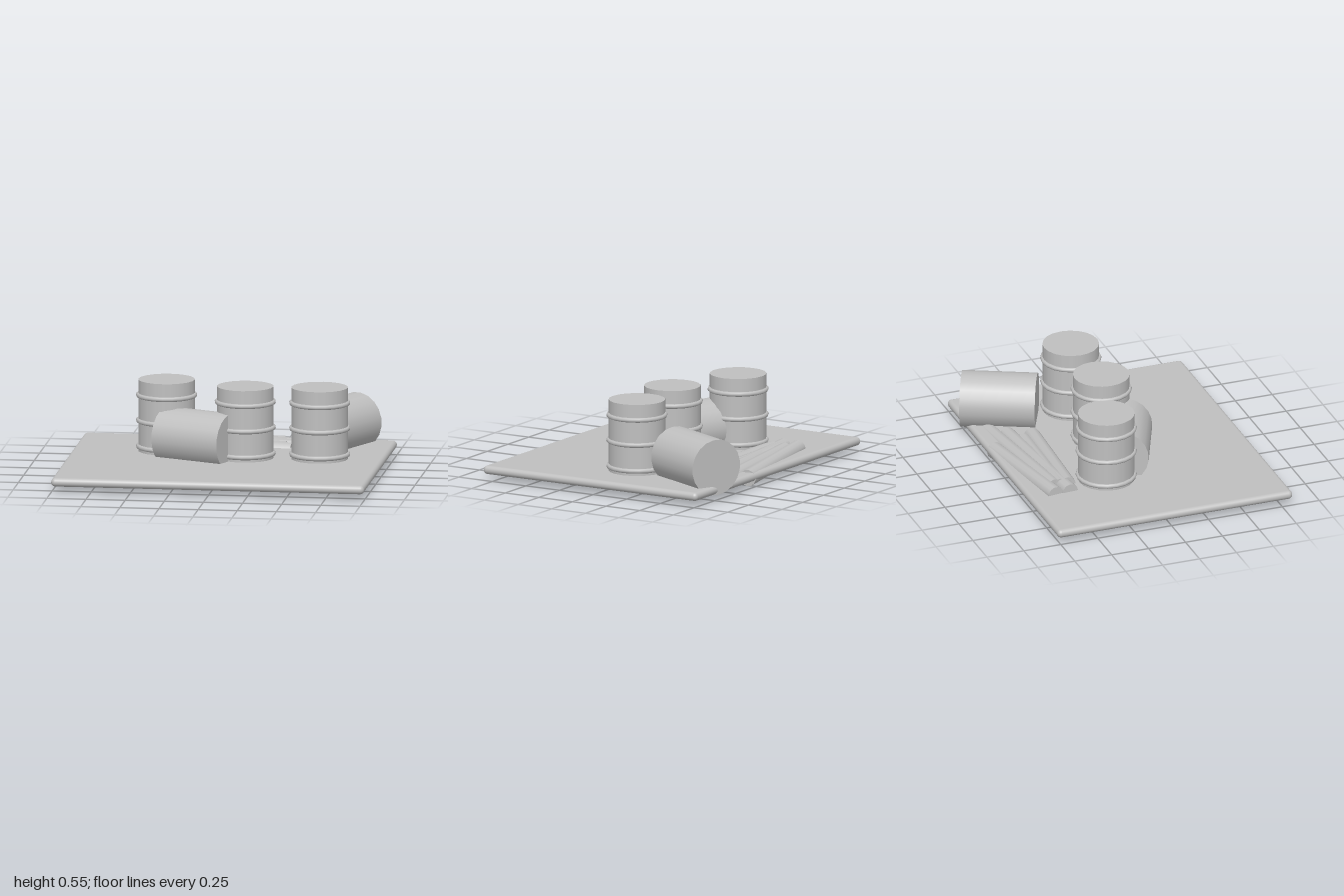
import * as THREE from 'three';
import { RoundedBoxGeometry } from 'three/addons/geometries/RoundedBoxGeometry.js';

const R = 0.18; // drum radius
const grey = new THREE.MeshStandardMaterial({ color: 0xbfbfbf });
grey.name = 'plainGrey';

function mesh(name, geometry, parent) {
  const m = new THREE.Mesh(geometry, grey);
  m.name = name;
  parent.add(m);
  return m;
}

// Cylinder running between two points
function cylinderBetween(name, a, b, radius, sides, parent) {
  const from = new THREE.Vector3(...a), to = new THREE.Vector3(...b);
  const axis = to.clone().sub(from);
  const m = mesh(name, new THREE.CylinderGeometry(radius, radius, axis.length(), sides), parent);
  m.position.copy(from).add(to).multiplyScalar(0.5);
  m.quaternion.setFromUnitVectors(new THREE.Vector3(0, 1, 0), axis.normalize());
  return m;
}

// Standing drum with three raised hoops
function standingDrum(x, z) {
  const drum = new THREE.Group();
  drum.name = 'standingDrum';
  const body = mesh('drumBody', new THREE.CylinderGeometry(R, R, 0.485, 20), drum);
  body.position.y = 0.3125;
  for (const y of [0.125, 0.292, 0.455]) {
    const hoop = mesh('drumHoop', new THREE.TorusGeometry(R, 0.015, 8, 20), drum);
    hoop.rotation.x = Math.PI / 2;
    hoop.position.y = y;
  }
  drum.position.set(x, 0, z);
  return drum;
}

export function createModel() {
  const model = new THREE.Group();
  model.name = 'drumYard';

  // Ground slab with rounded rim
  const slab = mesh('groundSlab', new RoundedBoxGeometry(2, 0.055, 1.59, 4, 0.027), model);
  slab.position.set(0, 0.0675, 0.03);

  // Upright drums
  for (const [x, z] of [[-0.4, -0.215], [0.125, -0.05], [0.597, -0.077]]) {
    model.add(standingDrum(x, z));
  }

  // Drums lying on their sides
  cylinderBetween('fallenDrum', [-0.39, 0.217, -0.115], [0.05, 0.217, 0.075], R, 20, model);
  cylinderBetween('fallenDrum', [0.542, 0.217, -0.327], [0.748, 0.217, -0.76], R, 20, model);

  // Loose logs, sinking through the slab towards the left side
  const logs = [
    [[-0.505, 0.092, -0.595], [0.29, 0.058, -0.712]],
    [[-0.5, 0.092, -0.495], [0.45, 0.065, -0.568]],
    [[-0.4, 0.092, -0.565], [0.56, 0.055, -0.655]],
    [[-0.4, 0.09, -0.53], [0.325, 0.065, -0.5]],
    [[-0.4, 0.092, -0.475], [0.37, 0.072, -0.428]],
  ];
  for (const [a, b] of logs) cylinderBetween('log', a, b, 0.054, 12, model);

  return model;
}
